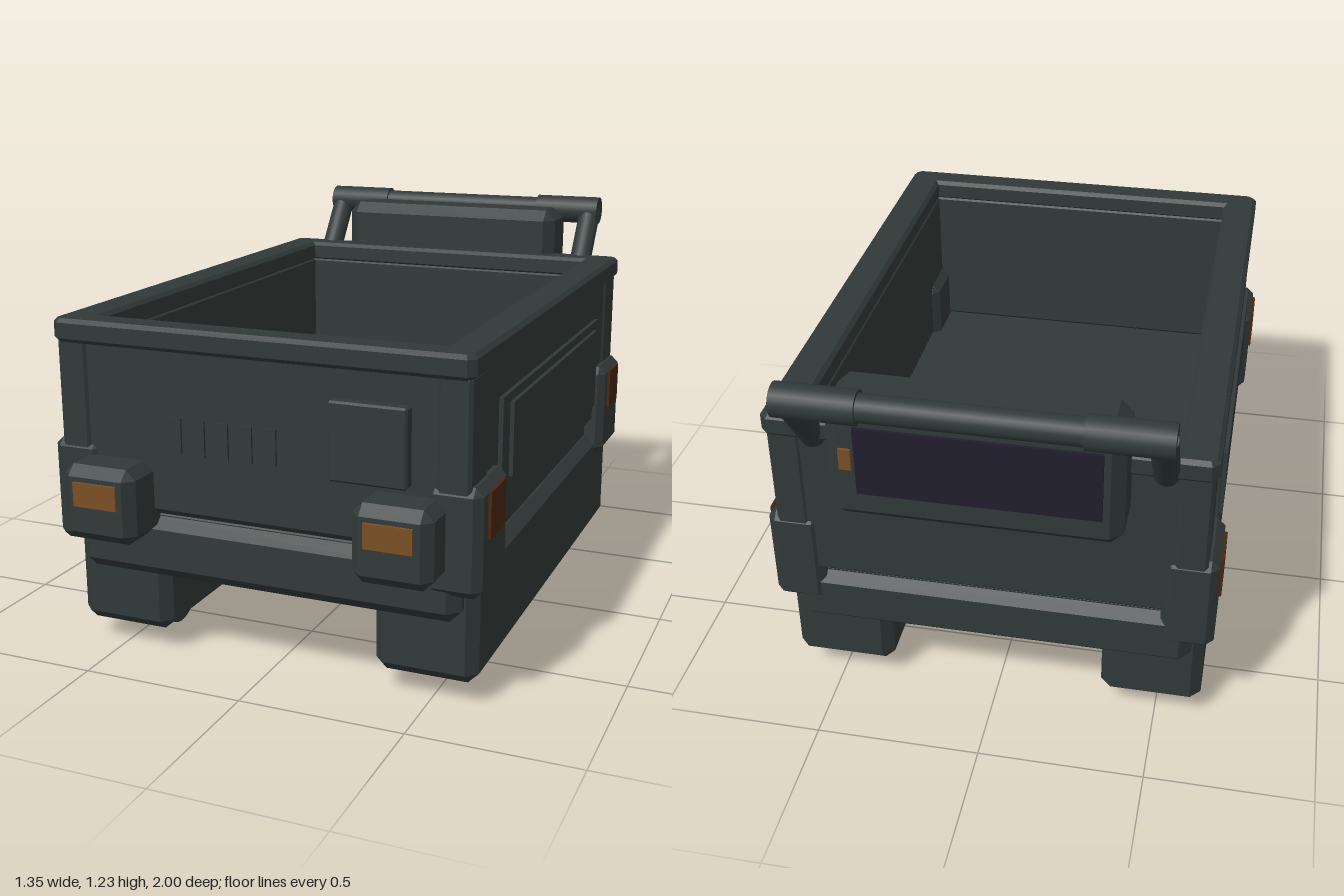
import * as THREE from 'three';
import { ConvexGeometry } from 'three/addons/geometries/ConvexGeometry.js';

const mat = (name, color) => {
  const m = new THREE.MeshStandardMaterial({ color });
  m.name = name;
  return m;
};

// Box between two limits per axis, with chamfered edges and corners
function chamferBox([x0, x1], [y0, y1], [z0, z1], c) {
  const pts = [];
  for (const [x, sx] of [[x0, 1], [x1, -1]])
    for (const [y, sy] of [[y0, 1], [y1, -1]])
      for (const [z, sz] of [[z0, 1], [z1, -1]])
        pts.push(
          new THREE.Vector3(x, y + sy * c, z + sz * c),
          new THREE.Vector3(x + sx * c, y, z + sz * c),
          new THREE.Vector3(x + sx * c, y + sy * c, z));
  return new ConvexGeometry(pts);
}

function plainBox([x0, x1], [y0, y1], [z0, z1]) {
  return new THREE.BoxGeometry(x1 - x0, y1 - y0, z1 - z0)
    .translate((x0 + x1) / 2, (y0 + y1) / 2, (z0 + z1) / 2);
}

// Open rectangular frame lying flat, with bevelled edges
function frame(w, [z0, z1], iw, [iz0, iz1], [y0, y1], b, k) {
  const W = w - b, a = -z1 + b, d = -z0 - b;
  const s = new THREE.Shape([
    [-W + k, a], [W - k, a], [W, a + k], [W, d - k],
    [W - k, d], [-W + k, d], [-W, d - k], [-W, a + k],
  ].map(p => new THREE.Vector2(...p)));
  const I = iw + b, e = -iz1 - b, f = -iz0 + b;
  s.holes.push(new THREE.Path([[-I, e], [-I, f], [I, f], [I, e]].map(p => new THREE.Vector2(...p))));
  return new THREE.ExtrudeGeometry(s, {
    depth: y1 - y0 - 2 * b, bevelEnabled: true, bevelSize: b, bevelThickness: b, bevelSegments: 1,
  }).rotateX(-Math.PI / 2).translate(0, y0 + b, 0);
}

// Round bar between two points
function rod(a, b, r) {
  const A = new THREE.Vector3(...a), B = new THREE.Vector3(...b), d = B.clone().sub(A);
  const q = new THREE.Quaternion().setFromUnitVectors(new THREE.Vector3(0, 1, 0), d.clone().normalize());
  const m = A.add(B).multiplyScalar(0.5);
  return new THREE.CylinderGeometry(r, r, d.length(), 24).applyQuaternion(q).translate(m.x, m.y, m.z);
}

export function createModel() {
  const g = new THREE.Group();
  g.name = 'openCrate';
  const dark = mat('dark green grey', 0x313a39);
  const amber = mat('amber', 0x7a5024);
  const rust = mat('rust', 0x4a2610);
  const navy = mat('dark navy', 0x211f2e);
  const add = (name, geo, m = dark) => {
    const mesh = new THREE.Mesh(geo, m);
    mesh.name = name;
    g.add(mesh);
  };
  const span = (s, a, b) => (s > 0 ? [a, b] : [-b, -a]);

  // Walls, rim and floor
  add('walls', frame(0.625, [-0.8, 0.86], 0.53, [-0.725, 0.785], [0.465, 0.98], 0.02, 0.01));
  add('rim', frame(0.642, [-0.825, 0.882], 0.53, [-0.725, 0.785], [0.96, 1.03], 0.012, 0.015));
  add('underbody', chamferBox([-0.6, 0.6], [0.33, 0.475], [-0.77, 0.83], 0.02));
  add('frontBumper', chamferBox([-0.6, 0.6], [0.265, 0.455], [0.7, 0.862], 0.035));
  add('rearBumper', chamferBox([-0.6, 0.6], [0.265, 0.455], [-0.8, -0.64], 0.035));

  for (const s of [1, -1]) {
    // Skids with round feet
    add('skid', chamferBox(span(s, 0.33, 0.638), [0.068, 0.42], [-0.75, 0.81], 0.032));
    for (const z of [0.58, -0.585])
      add('foot', rod([s * 0.42, 0.09, z], [s * 0.548, 0.09, z], 0.09));

    // Stepped side panels
    add('sidePanel', plainBox(span(s, 0.61, 0.638), [0.54, 0.852], [-0.54, 0.605]));
    add('sideInnerPanel', plainBox(span(s, 0.61, 0.65), [0.605, 0.825], [-0.475, 0.537]));

    // Corner guards, posts and side markers
    for (const [z0, z1, p0, p1, l0, l1] of [
      [0.62, 0.872, 0.72, 0.868, 0.68, 0.812],
      [-0.808, -0.56, -0.806, -0.66, -0.75, -0.618],
    ]) {
      add('cornerGuard', chamferBox(span(s, 0.505, 0.664), [0.352, 0.668], [z0, z1], 0.024));
      add('cornerPost', chamferBox(span(s, 0.535, 0.632), [0.6, 0.97], [p0, p1], 0.01));
      add('sideMarker', plainBox(span(s, 0.664, 0.673), [0.515, 0.648], [l0, l1]), rust);
    }

    // Headlights
    add('headlightHousing', chamferBox(span(s, 0.332, 0.565), [0.402, 0.628], [0.8, 0.988], 0.03));
    add('headlight', plainBox(span(s, 0.377, 0.517), [0.512, 0.584], [0.988, 0.997]), amber);

    // Handle ends and legs
    add('handleGrip', rod([s * 0.3, 1.177, -0.951], [s * 0.532, 1.177, -0.951], 0.049));
    add('handleLeg', rod([s * 0.498, 0.955, -0.785], [s * 0.498, 1.177, -0.951], 0.038));
  }
  add('handleBar', rod([-0.32, 1.177, -0.951], [0.32, 1.177, -0.951], 0.04));

  // Front vents and hatch
  for (let i = 0; i < 5; i++) {
    const x = -0.25 + i * 0.0745;
    add('ventSlat', plainBox([x - 0.018, x + 0.018], [0.66, 0.768], [0.85, 0.868]));
  }
  add('frontHatch', chamferBox([0.234, 0.463], [0.65, 0.877], [0.84, 0.897], 0.006));

  // Rear control box with screen and lamp
  add('controlBox', chamferBox([-0.405, 0.405], [0.81, 1.187], [-0.962, -0.762], 0.036));
  add('screen', plainBox([-0.35, 0.318], [0.91, 1.122], [-0.971, -0.962]), navy);
  add('statusLamp', plainBox([0.328, 0.362], [0.985, 1.05], [-0.971, -0.962]), amber);
  return g;
}
